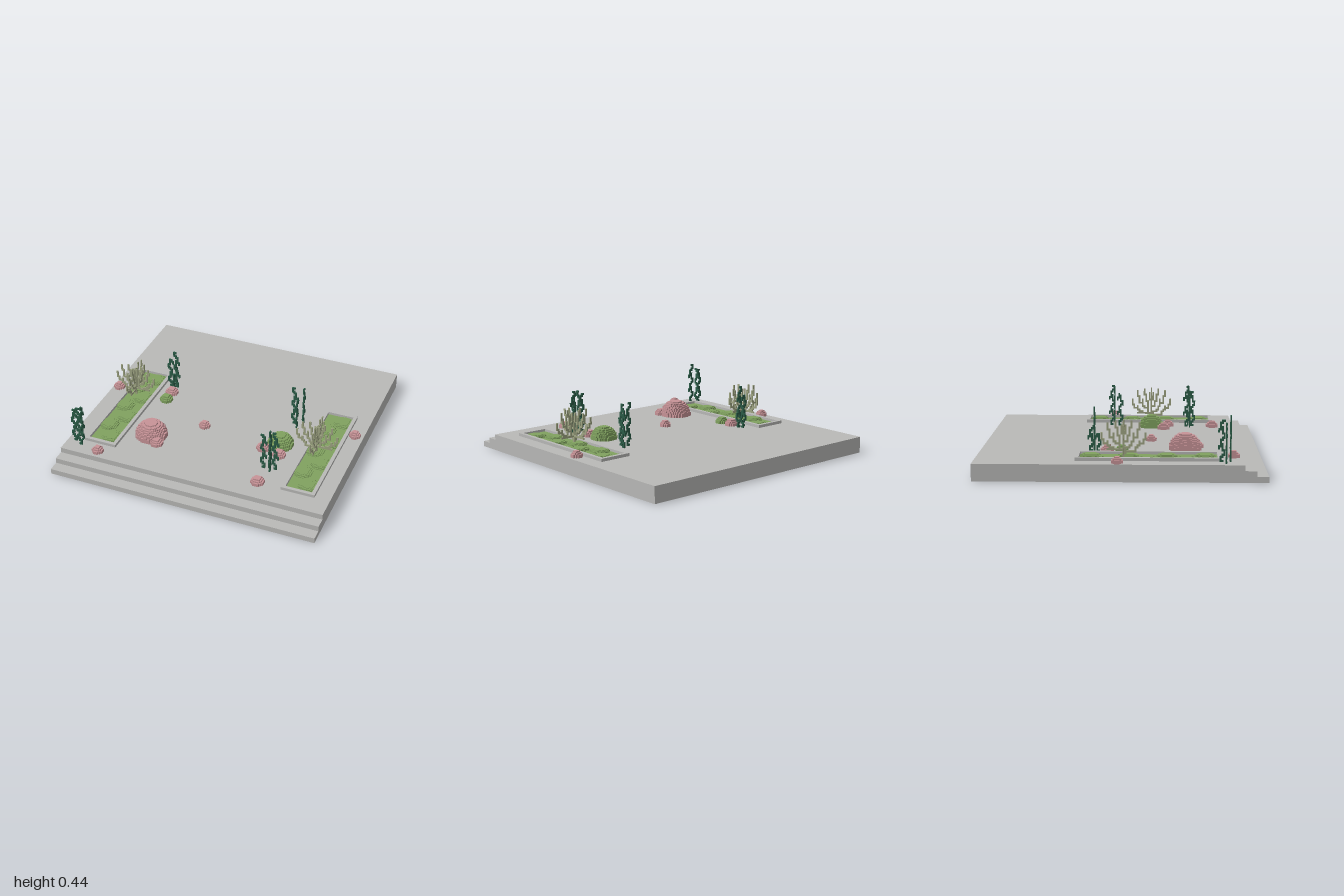
import * as THREE from 'three';

const mat = (name, color, side = THREE.FrontSide) => {
  const m = new THREE.MeshStandardMaterial({ color, side });
  m.name = name;
  return m;
};

// Block geometry from a fill rule: only exposed faces, centred on x and z, standing on y = 0
function blocks(n, size, filled) {
  const pos = [], nor = [];
  const has = c => c.every((v, a) => v >= 0 && v < n[a]) && filled(...c);
  const shift = [-n[0] / 2, 0, -n[2] / 2];
  for (let i = 0; i < n[0]; i++) for (let j = 0; j < n[1]; j++) for (let k = 0; k < n[2]; k++) {
    const c = [i, j, k];
    if (!has(c)) continue;
    for (let a = 0; a < 3; a++) for (const d of [1, -1]) {
      const next = [...c];
      next[a] += d;
      if (has(next)) continue;
      const u = (a + 1) % 3, v = (a + 2) % 3;
      const quad = [[0, 0], [1, 0], [1, 1], [0, 1]];
      if (d < 0) quad.reverse();
      const normal = [0, 0, 0];
      normal[a] = d;
      for (const q of [0, 1, 2, 0, 2, 3]) {
        const p = [...c];
        p[a] += d > 0 ? 1 : 0;
        p[u] += quad[q][0];
        p[v] += quad[q][1];
        pos.push(...p.map((w, t) => (w + shift[t]) * size[t]));
        nor.push(...normal);
      }
    }
  }
  const g = new THREE.BufferGeometry();
  g.setAttribute('position', new THREE.Float32BufferAttribute(pos, 3));
  g.setAttribute('normal', new THREE.Float32BufferAttribute(nor, 3));
  return g;
}

// Thin upright cut-out from rows of text
const cutout = (rows, cell, depth) => blocks(
  [rows[0].length, rows.length, 1], [cell, cell, depth],
  (i, j) => rows[rows.length - 1 - j][i] === '#');

// Half ball of blocks
function dome(r) {
  const cell = 0.0115, n = Math.round(2 * r / cell), h = Math.ceil(n / 2), R = n / 2 + 0.1;
  return blocks([n, h, n], [cell, cell, cell],
    (i, j, k) => Math.hypot(i + 0.5 - n / 2, j + 0.3, k + 0.5 - n / 2) <= R);
}

const CORAL = [
  '.......#.......#.......',
  '...#...#.......#...#...',
  '...#...#..#.#..#...#...',
  '...#...##.#.#.##...#...',
  '...##...#.#.#.#...##...',
  '....#...#.#.#.#...#....',
  '#...#.#.#.###.#.#.#...#',
  '#...#.#.##.#.##.#.#...#',
  '#...###..#.#.#..###...#',
  '##....#..#.#.#..#....##',
  '.#.#..##.###.#.##..#.#.',
  '.###...#...#.###...###.',
  '...##..##..#.#....##...',
  '....##..####.#..###....',
  '.....#....##########...',
  '.....#######...........',
  '..........##...........',
  '...........#...........',
  '...........#...........',
];
const KELP = ['.##.', '..#.', '.##.', '##..', '#...', '##..', '.#.#', '.###'];

function kelpBlade(height) {
  const rows = [];
  for (let j = 0; j < Math.round(height / 0.0145); j++) rows.unshift(KELP[j % KELP.length]);
  return cutout(rows, 0.0125, 0.01).scale(1, 0.0145 / 0.0125, 1);
}

export function createModel() {
  const model = new THREE.Group();
  model.name = 'garden terrace';
  const stone = mat('grey stone', 0xb9b9b7);
  const moss = mat('moss green', 0x80a25f);
  const pink = mat('dusty pink', 0xc79397);
  const branch = mat('pale olive', 0x9fa583);
  const weed = mat('dark sea green', 0x2b5c47);
  const add = (parent, name, geo, material, x = 0, y = 0, z = 0, turn = 0) => {
    const m = new THREE.Mesh(geo, material);
    m.name = name;
    m.position.set(x, y, z);
    m.rotation.y = turn;
    parent.add(m);
    return m;
  };
  const top = 0.12;

  // Platform with three front steps
  const profile = new THREE.Shape([[-1, 0], [1, 0], [1, 0.04], [0.92, 0.04], [0.92, 0.08],
    [0.84, 0.08], [0.84, top], [-1, top]].map(p => new THREE.Vector2(...p)));
  const slab = new THREE.ExtrudeGeometry(profile, { depth: 2, bevelEnabled: false });
  slab.rotateY(-Math.PI / 2).translate(1, 0, 0);
  add(model, 'steppedPlatform', slab, stone);

  // Planters: stone rim with a bed of mossy mounds and a crossed branching coral
  const box = (w, h, Kind) => new Kind([[-w, -h], [w, -h], [w, h], [-w, h]]
    .map(p => new THREE.Vector2(...p)));
  const rimShape = box(0.123, 0.5, THREE.Shape);
  rimShape.holes.push(box(0.097, 0.474, THREE.Path));
  const rim = new THREE.ExtrudeGeometry(rimShape, { depth: 0.022, bevelEnabled: false });
  rim.rotateX(-Math.PI / 2);
  const nx = 16, nz = 79;
  const bed = blocks([nx, 5, nz], [0.012, 0.004, 0.012], (i, j, k) => {
    if (j < 1) return true;
    for (let m = 0; m < 7; m++) {
      const cx = m % 2 ? 4.5 : 11.5, cz = 6 + m * 11;
      const d = Math.hypot(i + 0.5 - cx, k + 0.5 - cz) / 6;
      if (d < 1 && j < 5.4 * Math.sqrt(1 - d * d)) return true;
    }
    return false;
  });
  const fan = cutout(CORAL, 0.0137, 0.008);
  for (const [side, x, cx, cz] of [['right', -0.757, -0.787, 0.02], ['left', 0.766, 0.737, 0.205]]) {
    const planter = new THREE.Group();
    planter.name = side + 'Planter';
    model.add(planter);
    add(planter, 'planterRim', rim, stone, x, top, 0.19);
    add(planter, 'mossBed', bed, moss, x, top, 0.192);
    add(planter, 'coralFanAcross', fan, branch, cx, 0.122, cz);
    add(planter, 'coralFanAlong', fan, branch, cx, 0.122, cz, Math.PI / 2);
  }

  // Round bushes: x, z, radius
  const pinks = [[-0.455, 0.45, 0.114], [-0.375, 0.537, 0.044], [-0.95, -0.02, 0.04],
    [-0.54, -0.1, 0.044], [-0.135, 0.208, 0.038], [-0.73, 0.778, 0.039], [0.365, 0.3, 0.045],
    [0.5, 0.335, 0.045], [0.467, 0.68, 0.045], [0.936, -0.09, 0.038]];
  for (const [x, z, r] of pinks) add(model, 'pinkDome', dome(r), pink, x, top, z);
  for (const [x, z, r] of [[0.465, 0.207, 0.092], [-0.54, 0.003, 0.045]])
    add(model, 'greenDome', dome(r), moss, x, top, z);

  // Weed clusters: x, z, height, whether the blade runs along z
  const clusters = [
    [[-0.94, 0.715, 0.28], [-0.882, 0.746, 0.325], [-0.895, 0.685, 0.29, 1]],
    [[-0.585, -0.19, 0.25], [-0.535, -0.19, 0.32], [-0.55, -0.215, 0.19, 1], [-0.55, -0.165, 0.13, 1]],
    [[0.468, -0.08, 0.32], [0.53, -0.105, 0.325, 1], [0.5, -0.04, 0.26, 1]],
    [[0.445, 0.505, 0.29], [0.53, 0.495, 0.325], [0.485, 0.48, 0.325, 1], [0.5, 0.525, 0.28, 1]],
  ];
  for (const blades of clusters) {
    const cluster = new THREE.Group();
    cluster.name = 'weedCluster';
    model.add(cluster);
    for (const [x, z, h, along] of blades)
      add(cluster, 'weedBlade', kelpBlade(h), weed, x, top, z, along ? Math.PI / 2 : 0);
  }
  return model;
}
